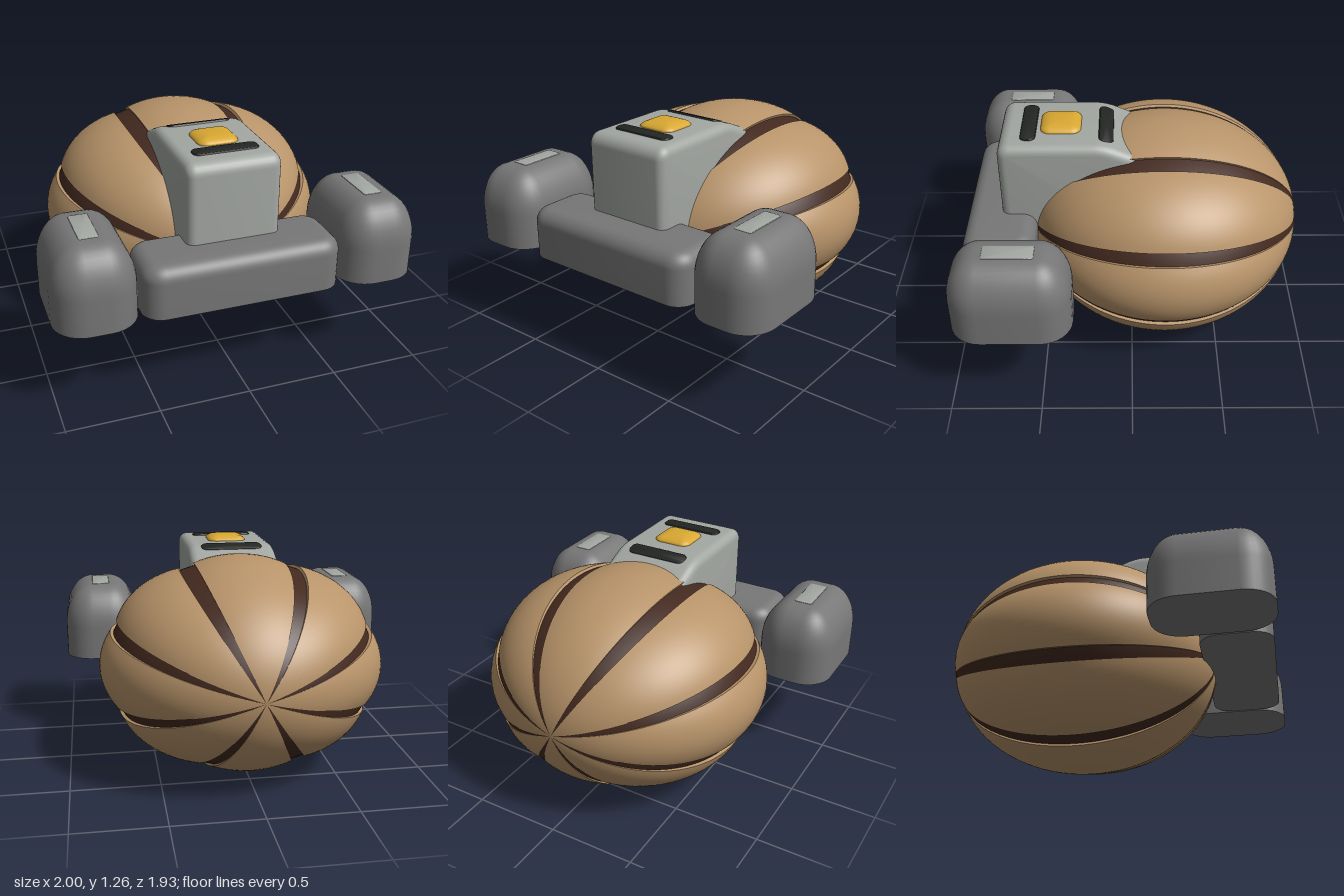
import * as THREE from 'three';
import { mergeGeometries, mergeVertices, toCreasedNormals } from 'three/addons/utils/BufferGeometryUtils.js';

const material = (name, color) => {
  const m = new THREE.MeshStandardMaterial({ color });
  m.name = name;
  return m;
};

function buildGeometry(positions, index) {
  const g = new THREE.BufferGeometry();
  g.setAttribute('position', new THREE.Float32BufferAttribute(positions, 3));
  g.setIndex(index);
  return g;
}

// Lengthwise strip of the ellipsoid; columns are [angle from up, radius scale]
const BODY = { x: 0.81, y: 0.61, z: 0.78, cy: 0.612, cz: -0.187 };
function bodyStrip(columns, rings = 56) {
  const pos = [], idx = [], n = columns.length;
  for (let j = 0; j <= rings; j++) {
    const t = (j / rings) * Math.PI;
    for (const [a, s] of columns) {
      const k = Math.sin(t) * s;
      pos.push(BODY.x * k * Math.sin(a), BODY.cy + BODY.y * k * Math.cos(a), BODY.cz + BODY.z * Math.cos(t));
    }
  }
  for (let j = 0; j < rings; j++) {
    for (let i = 0; i < n - 1; i++) {
      const p = j * n + i, q = p + n;
      if (j > 0) idx.push(p, p + 1, q);
      if (j < rings - 1) idx.push(p + 1, q + 1, q);
    }
  }
  return buildGeometry(pos, idx);
}

// Flat-bottomed block: rounded plan, sides curving over into a flat top
function domeBlock(halfW, halfD, height, corner, inset, curveH) {
  const sections = [[0, 0]];
  for (let i = 0; i <= 10; i++) {
    const f = (i / 10) * Math.PI / 2;
    sections.push([inset * (1 - Math.cos(f)), height - curveH * (1 - Math.sin(f))]);
  }
  const pos = [], idx = [], per = 8, n = 4 * (per + 1);
  for (const [ins, y] of sections) {
    const c = Math.max(corner - ins, 0.008);
    for (let q = 0; q < 4; q++) {
      const sx = q === 0 || q === 3 ? 1 : -1, sz = q < 2 ? 1 : -1;
      for (let k = 0; k <= per; k++) {
        const a = (q + k / per) * Math.PI / 2;
        pos.push(sx * (halfW - ins - c) + c * Math.cos(a), y, sz * (halfD - ins - c) + c * Math.sin(a));
      }
    }
  }
  const last = (sections.length - 1) * n, bottom = pos.length / 3;
  pos.push(0, 0, 0, 0, height, 0);
  for (let i = 0; i < n; i++) {
    const i2 = (i + 1) % n;
    for (let j = 0; j < sections.length - 1; j++) {
      const p = j * n + i, p2 = j * n + i2;
      idx.push(p, p + n, p2, p2, p + n, p2 + n);
    }
    idx.push(bottom, i, i2, bottom + 1, last + i2, last + i);
  }
  return toCreasedNormals(buildGeometry(pos, idx), 0.7);
}

export function createModel() {
  const tan = material('tan shell', 0xb8946a);
  const brown = material('dark brown stripe', 0x43291f);
  const grey = material('mid grey', 0x777777);
  const lightGrey = material('light grey', 0xa3a7a2);
  const black = material('black trim', 0x232523);
  const yellow = material('yellow button', 0xd9a832);

  const model = new THREE.Group();
  const add = (name, geometry, mat, x = 0, y = 0, z = 0) => {
    const mesh = new THREE.Mesh(geometry, mat);
    mesh.name = name;
    mesh.position.set(x, y, z);
    model.add(mesh);
    return mesh;
  };

  // Body: eight bulging panels with recessed stripes between them
  const panels = [], stripes = [], step = Math.PI / 4, halfStripe = 0.062;
  const halfPanel = step / 2 - halfStripe;
  for (let k = 0; k < 8; k++) {
    const mid = k * step, cols = [[mid - halfPanel, 0.935]];
    for (let i = 0; i <= 14; i++) {
      const u = (i / 14) * 2 - 1;
      cols.push([mid + u * halfPanel, 0.97 + 0.03 * (1 - u * u)]);
    }
    cols.push([mid + halfPanel, 0.935]);
    panels.push(bodyStrip(cols));
    const groove = [];
    for (let i = -2; i <= 2; i++) groove.push([mid + step / 2 + (i / 2) * (halfStripe + 0.005), 0.945]);
    stripes.push(bodyStrip(groove));
  }
  add('bodyPanels', toCreasedNormals(mergeGeometries(panels), 0.7), tan);
  add('bodyStripes', toCreasedNormals(mergeGeometries(stripes), 0.7), brown);

  // Head: side profile drawn in (z, y), extruded across x with rounded edges
  const b = 0.05;
  const profile = new THREE.Shape();
  profile.moveTo(-0.1, 0.6);
  profile.lineTo(0.735 - b, 0.6);
  profile.lineTo(0.735 - b, 1.232 - b - 0.02);
  profile.quadraticCurveTo(0.735 - b, 1.232 - b, 0.735 - b - 0.02, 1.232 - b);
  profile.lineTo(0.21, 1.232 - b);
  profile.quadraticCurveTo(0.16, 1.232 - b, 0.11, 1.21 - b);
  profile.lineTo(-0.1, 1.118 - b);
  profile.closePath();
  let head = new THREE.ExtrudeGeometry(profile, {
    depth: 0.52 - 2 * b, bevelEnabled: true, bevelSize: b, bevelThickness: b, bevelSegments: 6, curveSegments: 8,
  });
  head.translate(0, 0, -0.26 + b);
  head.rotateY(-Math.PI / 2);
  // mirror z so the profile's x axis runs towards the front
  head.deleteAttribute('uv');
  head.deleteAttribute('normal');
  head = toCreasedNormals(mergeVertices(head, 1e-4), 0.7);
  add('head', head, lightGrey);

  // Controls on top of the head
  add('topButton', domeBlock(0.115, 0.113, 0.04, 0.055, 0.1, 0.036), yellow, 0, 1.226, 0.393);
  const bar = domeBlock(0.182, 0.043, 0.022, 0.035, 0.01, 0.01);
  add('frontBar', bar, black, 0, 1.22, 0.57);
  add('rearBar', bar, black, 0, 1.207, 0.145).rotation.x = -0.33;

  // Front bumper and the two side pods
  add('bumper', domeBlock(0.545, 0.2, 0.28, 0.11, 0.08, 0.08), grey, 0, 0.51, 0.738);
  const pod = domeBlock(0.222, 0.325, 0.437, 0.17, 0.165, 0.24);
  const podPlate = domeBlock(0.052, 0.134, 0.009, 0.012, 0.003, 0.003);
  for (const [side, s] of [['left', 1], ['right', -1]]) {
    add(side + 'Pod', pod, grey, s * 0.778, 0.51, 0.64);
    add(side + 'PodPlate', podPlate, lightGrey, s * 0.778, 0.941, 0.635);
  }
  return model;
}
